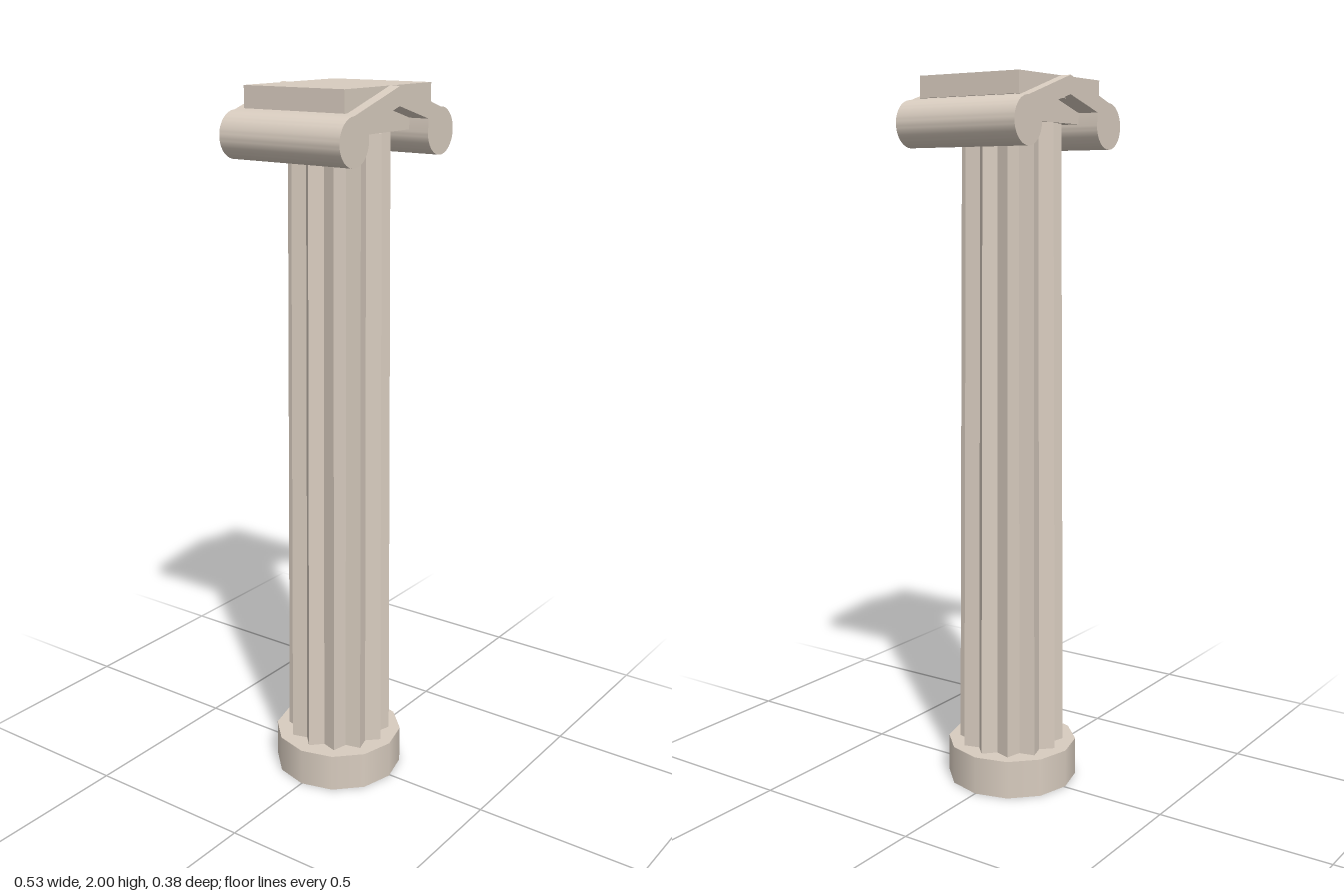
import * as THREE from 'three';
import { toCreasedNormals } from 'three/addons/utils/BufferGeometryUtils.js';

const stone = new THREE.MeshStandardMaterial({ color: 0xd8ccbf });
const flutedStone = new THREE.MeshStandardMaterial({ color: 0xd8ccbf, flatShading: true });

// Tapered column whose every second corner is pulled in to make a flute
function flutedShaft(topRadius, bottomRadius, height, flutes, valley) {
  const geometry = new THREE.CylinderGeometry(topRadius, bottomRadius, height, flutes * 2);
  const pos = geometry.attributes.position;
  const step = Math.PI / flutes;
  for (let i = 0; i < pos.count; i++) {
    const corner = Math.round(Math.atan2(pos.getX(i), pos.getZ(i)) / step);
    if (Math.abs(corner) % 2 === 1) {
      pos.setX(i, pos.getX(i) * valley);
      pos.setZ(i, pos.getZ(i) * valley);
    }
  }
  return geometry;
}

// Gabled band ending in a round scroll on each side
function scrollBand(depth) {
  const x = 0.2, y = 1.875, r = 0.063;
  const shape = new THREE.Shape();
  shape.moveTo(0, 2);
  shape.lineTo(-x, y + r);
  shape.absarc(-x, y, r, Math.PI / 2, Math.PI * 2, false);
  shape.lineTo(-0.14, 1.91);
  shape.lineTo(0, 1.95);
  shape.lineTo(0.14, 1.91);
  shape.absarc(x, y, r, Math.PI, Math.PI * 2.5, false);
  shape.lineTo(0, 2);
  const geometry = new THREE.ExtrudeGeometry(shape, { depth, bevelEnabled: false, curveSegments: 24 });
  geometry.translate(0, 0, -depth / 2);
  return toCreasedNormals(geometry, 0.4);
}

export function createModel() {
  const group = new THREE.Group();
  const add = (name, geometry, x, y, z, material = stone) => {
    const mesh = new THREE.Mesh(geometry, material);
    mesh.name = name;
    mesh.position.set(x, y, z);
    group.add(mesh);
  };

  // Foot and column
  add('base', new THREE.CylinderGeometry(0.187, 0.187, 0.11, 12), -0.004, 0.055, 0);
  add('shaft', flutedShaft(0.136, 0.152, 1.78, 12, 0.81), -0.001, 0.99, 0, flutedStone);

  // Capital: recessed block, scrolls and top slab
  add('capitalCore', new THREE.BoxGeometry(0.28, 0.08, 0.26), 0, 1.92, 0);
  add('scrolls', scrollBand(0.38), 0, 0, 0);
  add('topSlab', new THREE.BoxGeometry(0.396, 0.058, 0.318), 0, 1.971, 0);

  return group;
}
